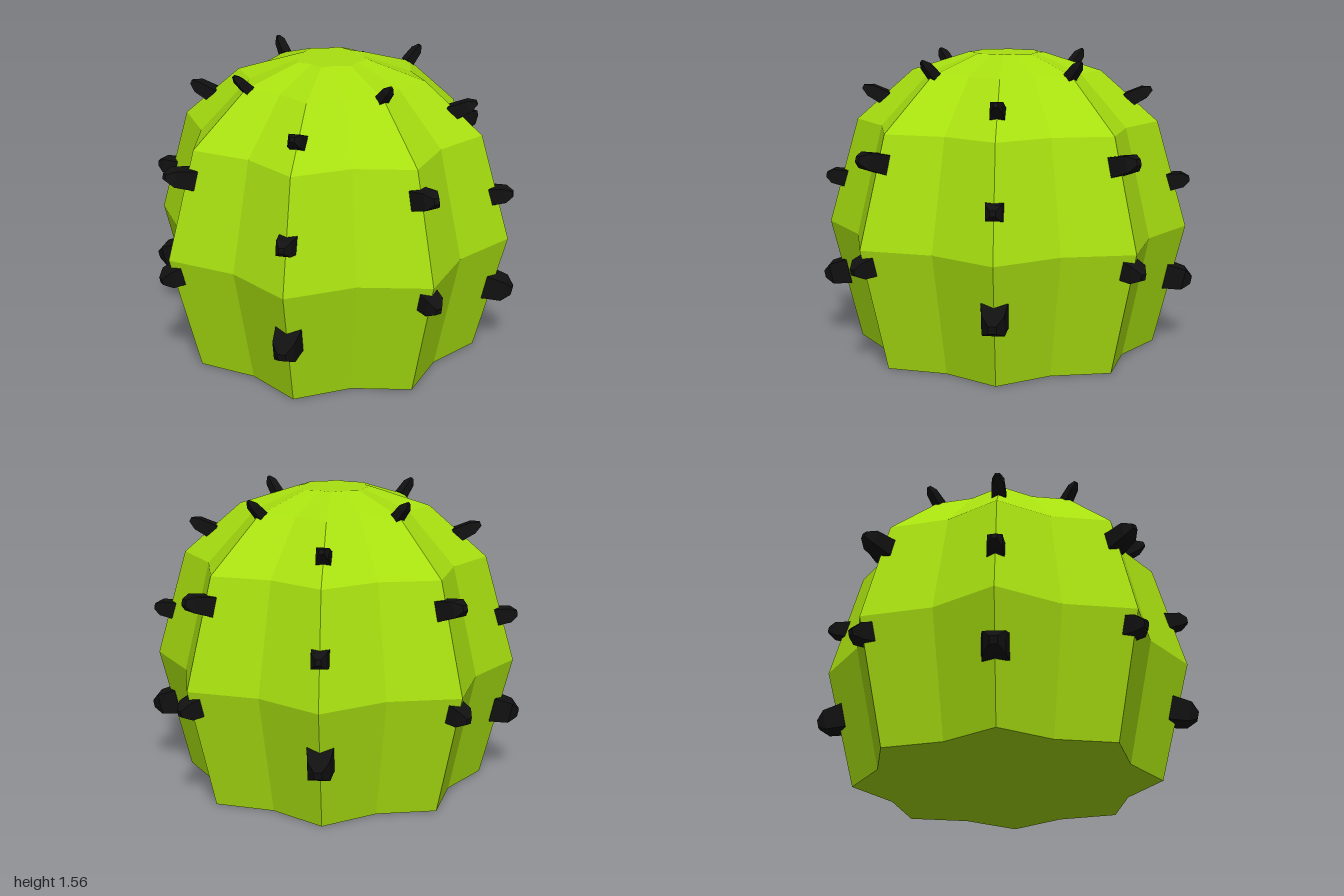
import * as THREE from 'three';

const RIBS = 8;

// Ribbed body: a lathe whose every other column is pulled in to form the valleys
function createBody(material) {
  const profile = [[0, 0], [0.795, 0], [0.955, 0.64], [0.795, 1.2], [0.495, 1.465], [0.195, 1.56], [0, 1.56]]
    .map(([r, y]) => new THREE.Vector2(r, y));
  const lathe = new THREE.LatheGeometry(profile, RIBS * 2);
  const pos = lathe.attributes.position;
  for (let i = 0; i < pos.count; i++) {
    const column = Math.floor(i / profile.length);
    if (column % 2 === 1) pos.setXYZ(i, pos.getX(i) * 0.85, pos.getY(i), pos.getZ(i) * 0.85);
  }
  const geometry = lathe.toNonIndexed();
  geometry.computeVertexNormals();
  const body = new THREE.Mesh(geometry, material);
  body.name = 'body';
  return body;
}

// Square tapering spine with a blunt tip, base at the origin, pointing up y
function createSpineGeometry(half, length) {
  const r = half * Math.SQRT2;
  const profile = [[0, 0], [r, 0], [r * 0.82, length * 0.7], [r * 0.3, length], [0, length]]
    .map(([x, y]) => new THREE.Vector2(x, y));
  const geometry = new THREE.LatheGeometry(profile, 4).rotateY(Math.PI / 4).toNonIndexed();
  geometry.computeVertexNormals();
  return geometry;
}

// Spine rows: first rib (0 = straight ribs, 1 = diagonal ribs), base radius, height,
// upward tilt in degrees, half width, length
const SPINE_ROWS = [
  [0, 0.87, 0.565, -12, 0.053, 0.135],
  [0, 0.81, 1.055, 15, 0.05, 0.152],
  [0, 0.478, 1.46, 46, 0.026, 0.115],
  [1, 0.85, 0.375, -12, 0.066, 0.145],
  [1, 0.85, 0.88, 8, 0.045, 0.12],
  [1, 0.63, 1.31, 26, 0.038, 0.145],
];

export function createModel() {
  const model = new THREE.Group();
  model.name = 'cactus';
  const green = new THREE.MeshStandardMaterial({ color: 0xa8e010, flatShading: true });
  const black = new THREE.MeshStandardMaterial({ color: 0x111111, flatShading: true });
  model.add(createBody(green));

  const spines = new THREE.Group();
  spines.name = 'spines';
  for (const [firstRib, radius, y, tilt, half, length] of SPINE_ROWS) {
    const geometry = createSpineGeometry(half, length);
    for (let rib = firstRib; rib < RIBS; rib += 2) {
      const angle = (rib / RIBS) * Math.PI * 2;
      const spine = new THREE.Mesh(geometry, black);
      spine.name = 'spine';
      spine.position.set(Math.sin(angle) * radius, y, Math.cos(angle) * radius);
      spine.rotation.set(Math.PI / 2 - THREE.MathUtils.degToRad(tilt), angle, 0, 'YXZ');
      spines.add(spine);
    }
  }
  model.add(spines);
  return model;
}
